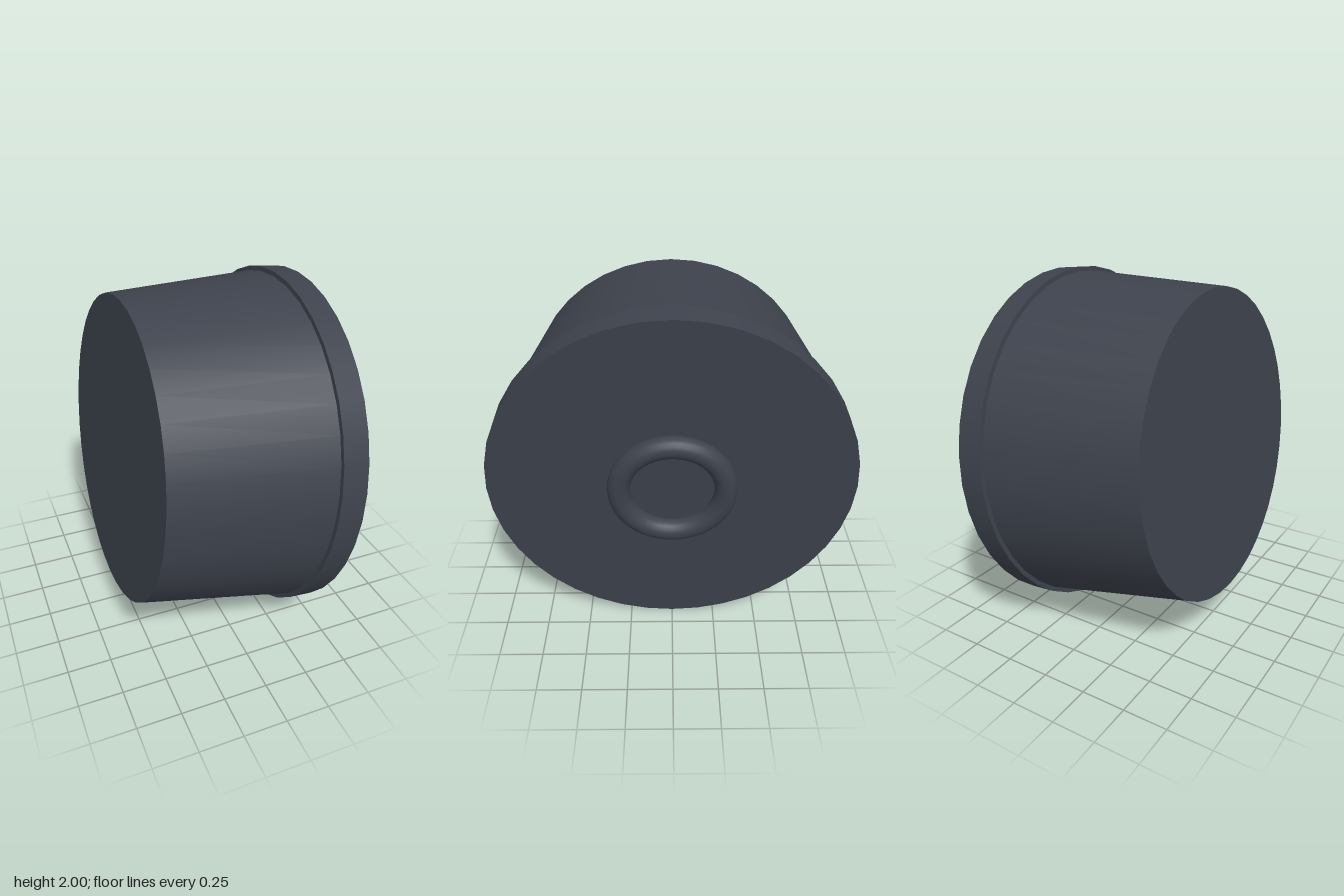
import * as THREE from 'three';

export function createModel() {
  const model = new THREE.Group();
  const slate = new THREE.MeshStandardMaterial({ color: 0x3d424c });
  slate.name = 'darkSlate';

  // Tilted assembly: local +y is the axis, y = 0 is the outer face of the rim
  const plug = new THREE.Group();
  plug.name = 'plug';
  plug.position.set(0.49, 0.996, 0);
  plug.rotation.z = -Math.PI / 2 - 0.0957;
  model.add(plug);

  const add = (name, geometry, y) => {
    const mesh = new THREE.Mesh(geometry, slate);
    mesh.name = name;
    mesh.position.y = y;
    plug.add(mesh);
    return mesh;
  };

  const sides = 40, rimDepth = 0.145, bodyDepth = 0.867;

  // Wide rim disc
  add('rim', new THREE.CylinderGeometry(0.998, 0.998, rimDepth, sides), -rimDepth / 2);

  // Tapered body behind the rim
  add('body', new THREE.CylinderGeometry(0.973, 0.867, bodyDepth, sides), -rimDepth - bodyDepth / 2);

  // Ring half sunk into the rim face
  add('ring', new THREE.TorusGeometry(0.288, 0.062, 20, 48), 0.018).rotation.x = Math.PI / 2;

  return model;
}
